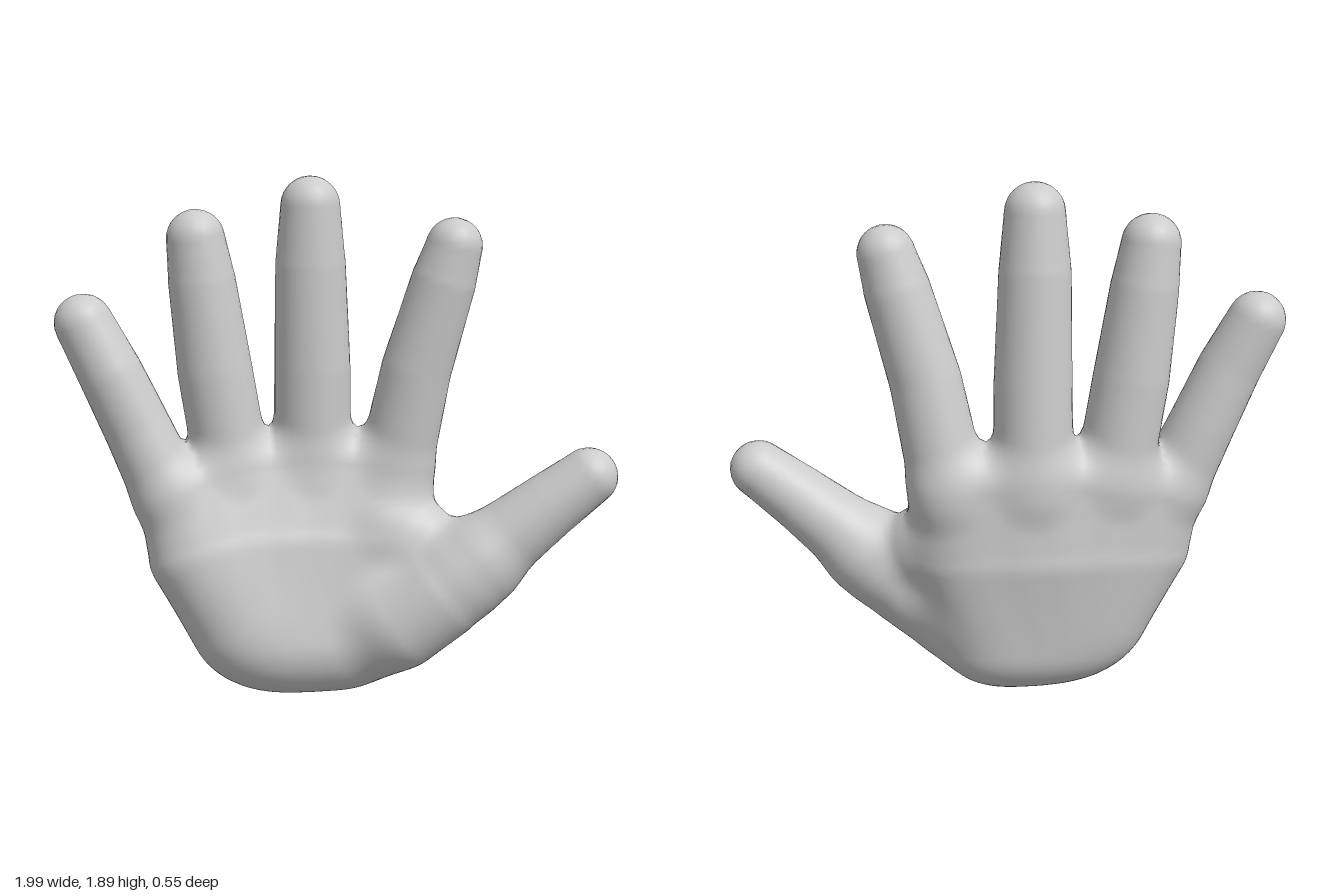
import * as THREE from 'three';

// Bones: chains of [x, y, z, radius], skinned together by a smooth blend.
const METACARPALS = [
  [[-0.37, 0.28, -0.005, 0.165], [-0.525, 0.53, -0.015, 0.157], [-0.59, 0.75, -0.04, 0.125]],
  [[-0.25, 0.21, -0.02, 0.175], [-0.32, 0.55, -0.07, 0.175], [-0.37, 0.82, -0.105, 0.13]],
  [[-0.08, 0.205, -0.03, 0.175], [-0.08, 0.55, -0.085, 0.18], [-0.08, 0.85, -0.125, 0.13]],
  [[0.09, 0.21, -0.025, 0.17], [0.185, 0.55, -0.06, 0.165], [0.225, 0.82, -0.09, 0.13]],
];
const THUMB_BASE = [
  [[0.22, 0.29, 0.075, 0.178], [0.36, 0.4, 0.095, 0.176], [0.5, 0.51, 0.1, 0.158]],  // mound
  [[0.2, 0.62, -0.02, 0.11], [0.31, 0.585, 0, 0.115]],                               // web
];
const FINGERS = {
  littleFinger: [[-0.61, 0.77, -0.04, 0.13], [-0.71, 1.0, -0.05, 0.12],
    [-0.8, 1.2, -0.05, 0.114], [-0.89, 1.38, -0.065, 0.104]],
  ringFinger: [[-0.37, 0.82, -0.105, 0.138], [-0.43, 1.2, -0.1, 0.135],
    [-0.471, 1.52, -0.095, 0.12], [-0.491, 1.672, -0.09, 0.104]],
  middleFinger: [[-0.077, 0.82, -0.125, 0.143], [-0.077, 1.2, -0.105, 0.138],
    [-0.084, 1.58, -0.09, 0.126], [-0.085, 1.785, -0.078, 0.106]],
  indexFinger: [[0.22, 0.8, -0.09, 0.138], [0.295, 1.2, -0.045, 0.127],
    [0.385, 1.52, -0.015, 0.116], [0.42, 1.645, -0.005, 0.101]],
  thumb: [[0.46, 0.48, 0.1, 0.15], [0.6, 0.6, 0.115, 0.137],
    [0.75, 0.725, 0.14, 0.118], [0.89, 0.835, 0.16, 0.104]],
};
const FINGER_LIST = Object.values(FINGERS);
const PART_NAMES = ['palm', ...Object.keys(FINGERS)];

// Fill the palm with a chain halfway between each pair of neighbours
const halfway = (a, b) => a.map((p, i) => p.map((v, n) => (v + b[i][n]) / 2));
const PALM = METACARPALS.flatMap((chain, i) =>
  (i ? [halfway(METACARPALS[i - 1], chain), chain] : [chain])).concat(THUMB_BASE);

// Distance to a tapered, round-ended bone
function boneDistance(x, y, z, a, b) {
  const dx = b[0] - a[0], dy = b[1] - a[1], dz = b[2] - a[2];
  const along = (x - a[0]) * dx + (y - a[1]) * dy + (z - a[2]) * dz;
  const t = Math.min(1, Math.max(0, along / (dx * dx + dy * dy + dz * dz)));
  const px = x - a[0] - t * dx, py = y - a[1] - t * dy, pz = z - a[2] - t * dz;
  return Math.sqrt(px * px + py * py + pz * pz) - a[3] - t * (b[3] - a[3]);
}

function chainDistance(x, y, z, chain) {
  let d = Infinity;
  for (let i = 1; i < chain.length; i++) d = Math.min(d, boneDistance(x, y, z, chain[i - 1], chain[i]));
  return d;
}

function blend(a, b, k) {
  const h = Math.max(0, k - Math.abs(a - b));
  return Math.min(a, b) - (h * h) / (4 * k);
}

function palmDistance(x, y, z) {
  let d = 10;
  for (const chain of PALM) d = blend(d, chainDistance(x, y, z, chain), 0.1);
  return d;
}

function handDistance(x, y, z) {
  let d = 10;
  for (const chain of FINGER_LIST) d = Math.min(d, chainDistance(x, y, z, chain));
  return blend(palmDistance(x, y, z), d, 0.06);
}

// Which part a point of the skin belongs to
function partAt(x, y, z) {
  let best = 0, d = palmDistance(x, y, z);
  FINGER_LIST.forEach((chain, i) => {
    const f = chainDistance(x, y, z, chain);
    if (f < d) { d = f; best = i + 1; }
  });
  return best;
}

function skinNormal(x, y, z) {
  const e = 0.015;
  return new THREE.Vector3(
    handDistance(x + e, y, z) - handDistance(x - e, y, z),
    handDistance(x, y + e, z) - handDistance(x, y - e, z),
    handDistance(x, y, z + e) - handDistance(x, y, z - e)).normalize();
}

// Wrap a quad skin around the bones, one vertex per crossed grid cell
function buildSkin() {
  const step = 0.025, origin = [-1.1, -0.1, -0.4], size = [89, 85, 33];
  const stride = [1, size[0], size[0] * size[1]];
  const total = stride[2] * size[2];
  const values = new Float32Array(total);
  const cellVertex = new Int32Array(total).fill(-1);
  const positions = [], normals = [];
  const parts = PART_NAMES.map(() => []);
  const eachCell = (last, visit) => {
    for (let k = 0; k < size[2] - last; k++)
      for (let j = 0; j < size[1] - last; j++)
        for (let i = 0; i < size[0] - last; i++) visit([i, j, k], i + j * stride[1] + k * stride[2]);
  };
  const place = (c, axis) => origin[axis] + c[axis] * step;

  eachCell(0, (c, id) => { values[id] = handDistance(place(c, 0), place(c, 1), place(c, 2)); });

  eachCell(1, (c, id) => {
    const sum = [0, 0, 0];
    let count = 0;
    for (let corner = 0; corner < 8; corner++) {
      const bits = [corner & 1, (corner >> 1) & 1, corner >> 2];
      const start = id + bits[0] + bits[1] * stride[1] + bits[2] * stride[2];
      for (let a = 0; a < 3; a++) {
        if (bits[a]) continue;
        const v0 = values[start], v1 = values[start + stride[a]];
        if ((v0 < 0) === (v1 < 0)) continue;
        for (let n = 0; n < 3; n++) sum[n] += bits[n] + (n === a ? v0 / (v0 - v1) : 0);
        count++;
      }
    }
    if (!count) return;
    const p = new THREE.Vector3(...sum.map((s, n) => place(c, n) + (s / count) * step));
    p.addScaledVector(skinNormal(p.x, p.y, p.z), -handDistance(p.x, p.y, p.z));
    cellVertex[id] = positions.length / 3;
    positions.push(p.x, p.y, p.z);
    normals.push(...skinNormal(p.x, p.y, p.z).toArray());
  });

  eachCell(1, (c, id) => {
    for (let a = 0; a < 3; a++) {
      const inside = values[id] < 0;
      if (inside === (values[id + stride[a]] < 0)) continue;
      const sb = stride[(a + 1) % 3], sc = stride[(a + 2) % 3];
      const q = [id, id - sb, id - sb - sc, id - sc].map((n) => cellVertex[n]);
      if (!inside) q.reverse();
      const o = q[0] * 3;
      parts[partAt(positions[o], positions[o + 1], positions[o + 2])]
        .push(q[0], q[1], q[2], q[0], q[2], q[3]);
    }
  });
  return { positions, normals, parts };
}

export function createModel() {
  const hand = new THREE.Group();
  hand.name = 'openHand';
  const skin = new THREE.MeshStandardMaterial({ color: 0xcccccc });
  skin.name = 'light grey';

  const { positions, normals, parts } = buildSkin();
  const position = new THREE.Float32BufferAttribute(positions, 3);
  const normal = new THREE.Float32BufferAttribute(normals, 3);

  // Centre on x and z and stand on the ground
  const box = new THREE.Box3().setFromBufferAttribute(position);
  const centre = box.getCenter(new THREE.Vector3());
  position.applyMatrix4(new THREE.Matrix4().makeTranslation(-centre.x, -box.min.y, -centre.z));

  PART_NAMES.forEach((name, i) => {
    const geometry = new THREE.BufferGeometry();
    geometry.setAttribute('position', position);
    geometry.setAttribute('normal', normal);
    geometry.setIndex(parts[i]);
    const mesh = new THREE.Mesh(geometry, skin);
    mesh.name = name;
    hand.add(mesh);
  });
  return hand;
}
